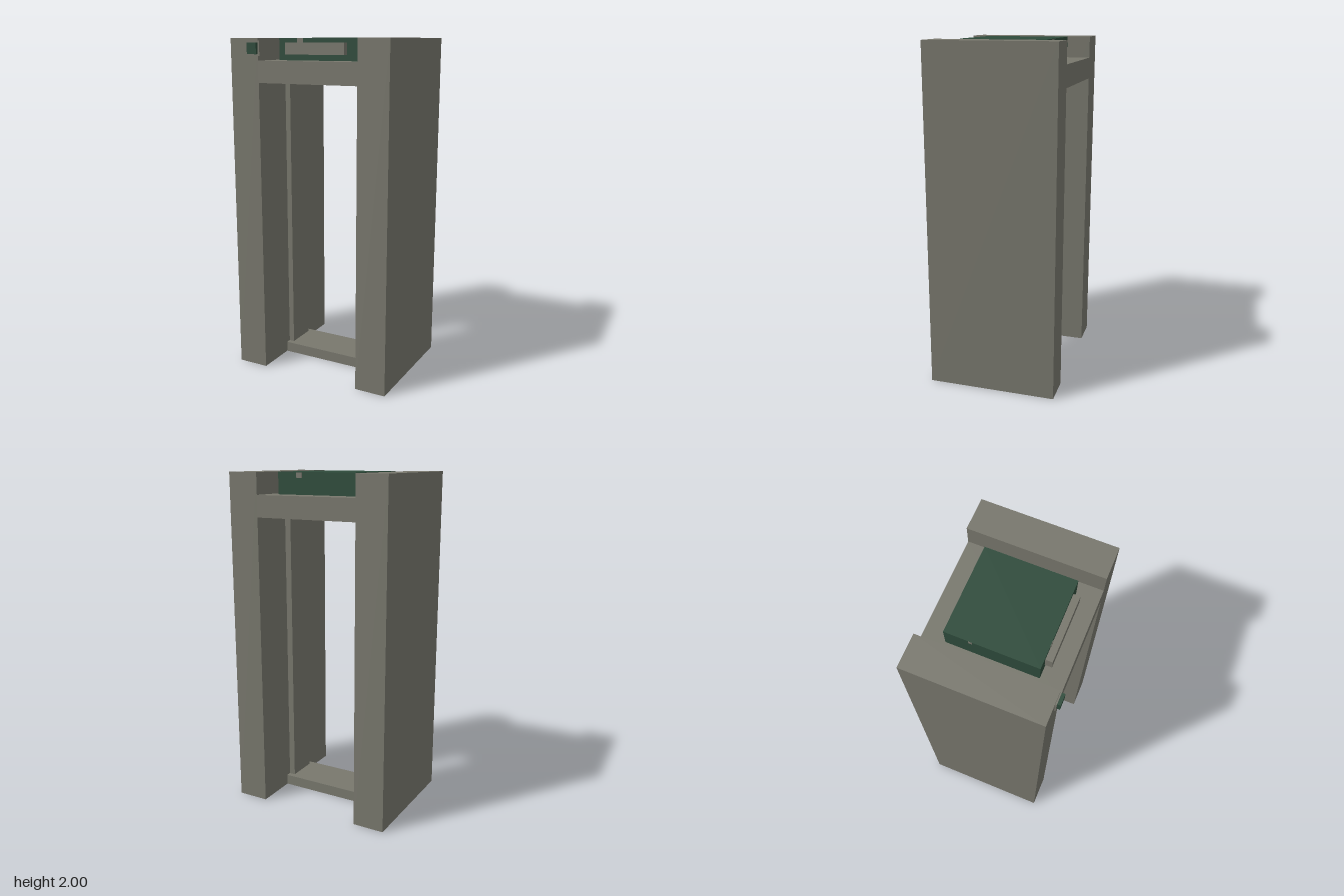
import * as THREE from 'three';

export function createModel() {
  const model = new THREE.Group();
  model.name = 'gateFrame';
  const stone = new THREE.MeshStandardMaterial({ color: 0x78776d });
  stone.name = 'warm grey stone';
  const green = new THREE.MeshStandardMaterial({ color: 0x2e4b3b });
  green.name = 'dark green';

  // Box given by its lower and upper limits on each axis
  function block(name, material, [x0, x1], [y0, y1], [z0, z1]) {
    const mesh = new THREE.Mesh(new THREE.BoxGeometry(x1 - x0, y1 - y0, z1 - z0), material);
    mesh.position.set((x0 + x1) / 2, (y0 + y1) / 2, (z0 + z1) / 2);
    mesh.name = name;
    model.add(mesh);
    return mesh;
  }

  const depth = [-0.3875, 0.3625];

  // Posts, lintel and sill
  block('leftPost', stone, [0.3125, 0.5], [0, 2], depth);
  block('rightPost', stone, [-0.5, -0.3125], [0, 2], depth);
  block('lintel', stone, [-0.3125, 0.3125], [1.75, 1.875], depth);
  block('sill', stone, [-0.3125, 0.3125], [0, 0.0625], [-0.1375, 0.1125]);

  // Raised strips on the inner faces of the posts
  const stripDepth = [-0.106, 0.081];
  block('leftInnerStrip', stone, [0.275, 0.3125], [0.0625, 1.75], stripDepth);
  block('rightInnerStrip', stone, [-0.3125, -0.28], [0.0625, 1.75], stripDepth);

  // Housing on the lintel, with its front panel
  block('topHousing', green, [-0.25, 0.25], [1.875, 2], [-0.2625, 0.2375]);
  block('frontPanel', stone, [-0.1875, 0.1875], [1.908, 1.974], [0.2375, 0.275]);

  // One small tab near the top of each side of the housing
  for (let i = 0; i < 4; i++) {
    const size = i % 2 ? 0.02 : 0.037;
    const tab = new THREE.Mesh(new THREE.BoxGeometry(size, size * 0.8, 0.004), stone);
    tab.position.set(-0.11, 1.998 - size * 0.4, 0.25);
    const pivot = new THREE.Group();
    pivot.name = 'housingTab';
    pivot.position.z = -0.0125;
    pivot.rotation.y = i * Math.PI / 2;
    pivot.add(tab);
    model.add(pivot);
  }

  // Button on the front of the right post
  block('buttonPlate', stone, [-0.383, -0.299], [1.9, 1.984], [0.3625, 0.37]);
  block('button', green, [-0.372, -0.31], [1.91, 1.973], [0.37, 0.3875]);

  return model;
}
